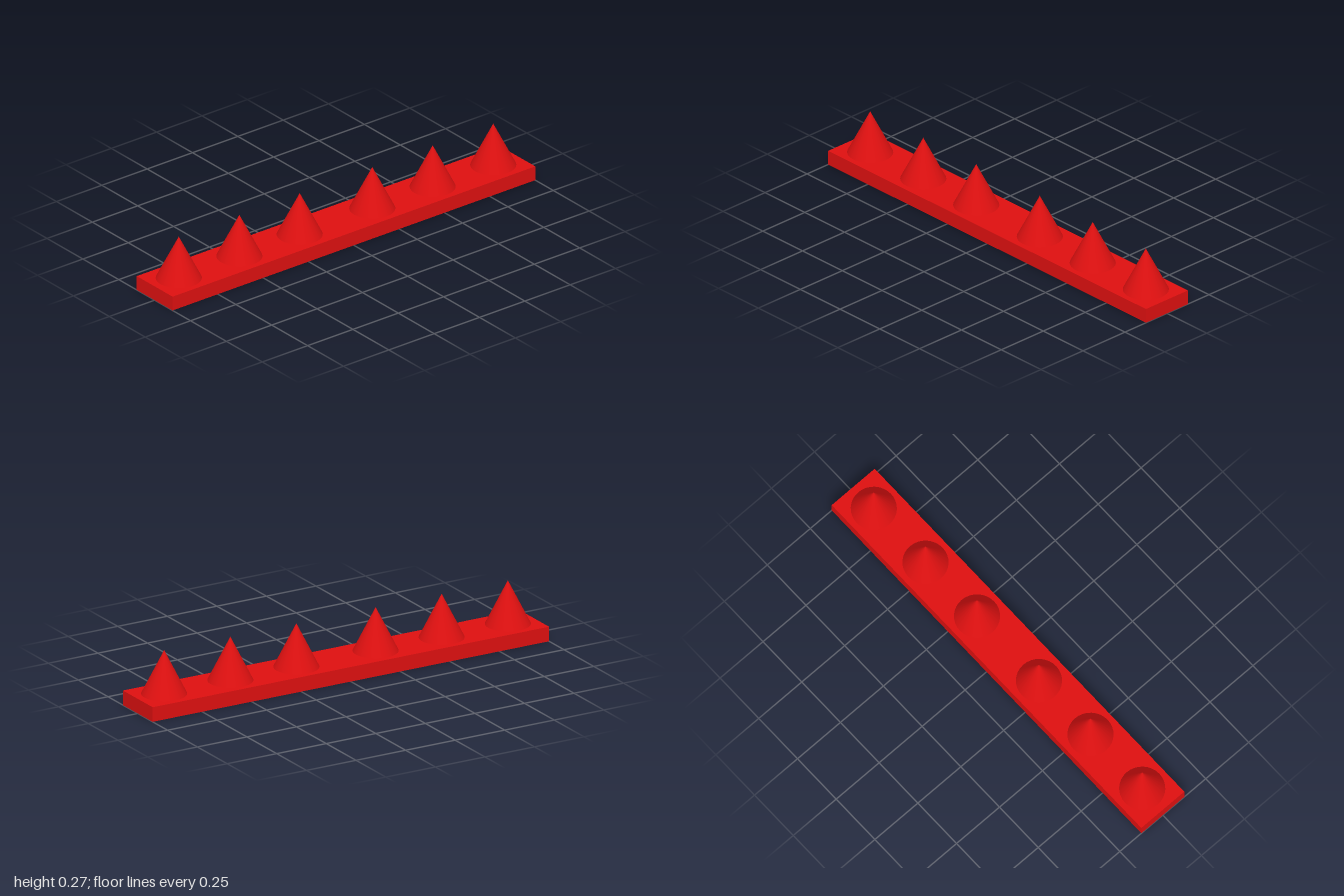
import * as THREE from 'three';

export function createModel() {
  const model = new THREE.Group();
  model.name = 'spikeStrip';

  const red = new THREE.MeshStandardMaterial({ color: 0xdd1010 });
  red.name = 'red';

  const baseHeight = 0.067;
  const spikeHeight = 0.2;

  // Flat bar that carries the spikes
  const base = new THREE.Mesh(new THREE.BoxGeometry(0.25, baseHeight, 2), red);
  base.name = 'base';
  base.position.y = baseHeight / 2;
  model.add(base);

  // Two mirrored rows of three smooth cones, with a wider gap in the middle
  const spikeGeometry = new THREE.ConeGeometry(0.1, spikeHeight, 32, 1, true);
  for (const side of [1, -1]) {
    [0.2, 0.533, 0.867].forEach((z, i) => {
      const spike = new THREE.Mesh(spikeGeometry, red);
      spike.name = `${side > 0 ? 'front' : 'back'}Spike${i + 1}`;
      spike.position.set(0, baseHeight + spikeHeight / 2, side * z);
      model.add(spike);
    });
  }

  return model;
}
